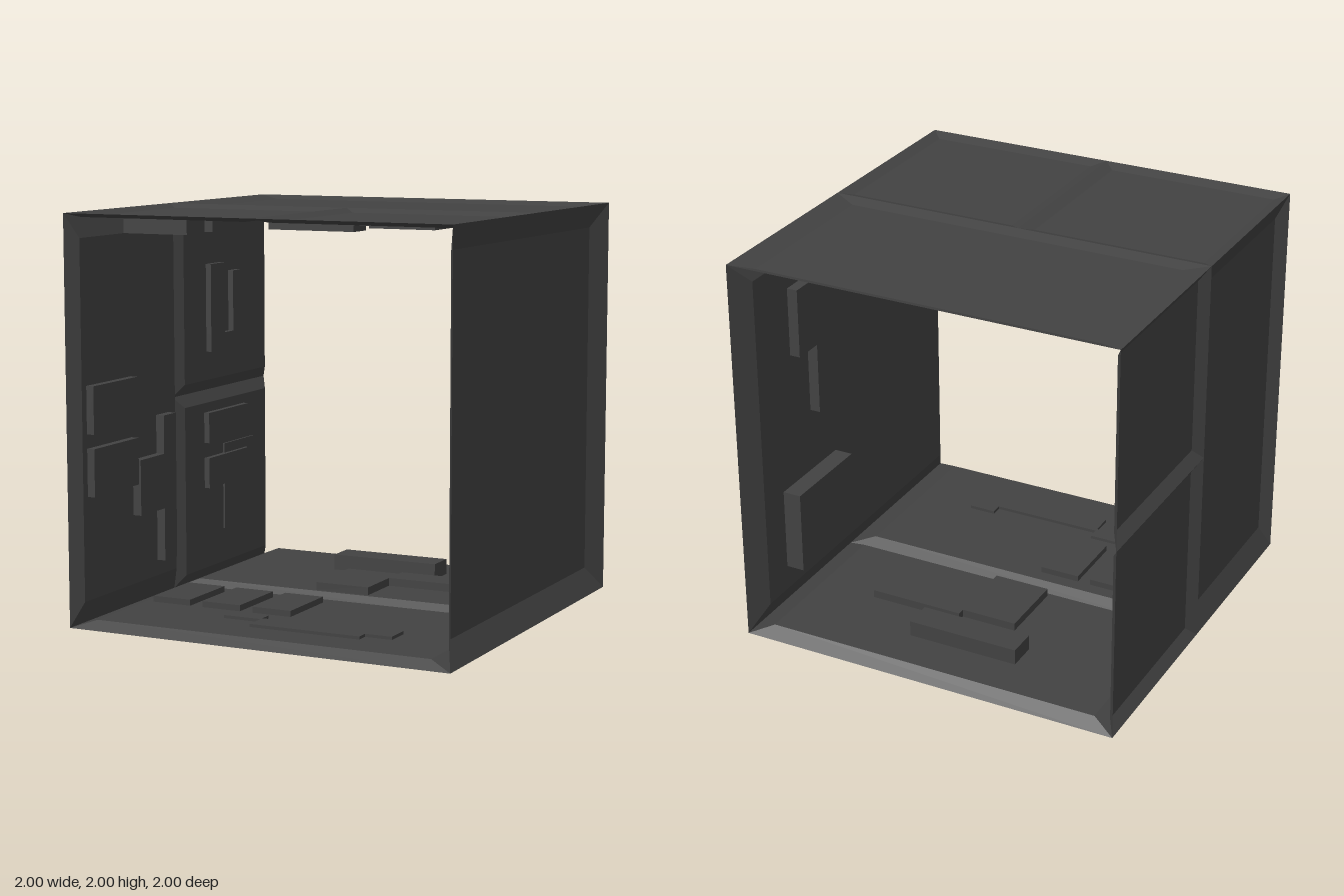
import * as THREE from 'three';

const metal = new THREE.MeshStandardMaterial({ color: 0x424242, side: THREE.DoubleSide });
metal.name = 'darkGrey';

// Each wall maps (u, v, h) to space; h is the height above the outer plane, inwards.
// u is x on floor and ceiling, y on the side walls; v is always z.
const floor = (u, v, h) => new THREE.Vector3(u, h, v);
const ceiling = (u, v, h) => new THREE.Vector3(u, 2 - h, v);
const leftWall = (u, v, h) => new THREE.Vector3(1 - h, u, v);
const rightWall = (u, v, h) => new THREE.Vector3(h - 1, u, v);

// Pressed sheet: rim on the outer plane, bevels rising to a raised centre plate.
function sheet(map, u0, u1, v0, v1, depth) {
  const ring = (inset, h) => {
    const du = (u1 - u0) * inset, dv = (v1 - v0) * inset;
    return [
      map(u0 + du, v0 + dv, h), map(u1 - du, v0 + dv, h),
      map(u1 - du, v1 - dv, h), map(u0 + du, v1 - dv, h),
    ];
  };
  const outer = ring(0, 0), inner = ring(0.06, depth);
  const points = [];
  const quad = (a, b, c, d) => points.push(a, b, c, a, c, d);
  quad(...inner);
  for (let i = 0; i < 4; i++) {
    const j = (i + 1) % 4;
    quad(outer[i], outer[j], inner[j], inner[i]);
  }
  const geometry = new THREE.BufferGeometry().setFromPoints(points);
  geometry.computeVertexNormals();
  return geometry;
}

// Panel group with helpers that fix raised plates to its inner face.
function makePanel(model, name, map, u0, u1, v0, v1, depth) {
  const group = new THREE.Group();
  group.name = name;
  model.add(group);
  const add = (geometry, part) => {
    const mesh = new THREE.Mesh(geometry, metal);
    mesh.name = part;
    group.add(mesh);
  };
  add(sheet(map, u0, u1, v0, v1, depth), 'bevelledSheet');

  // One rectangular block from corner (u, v), standing up to height top.
  const block = (u, v, du, dv, top, part = 'block') => {
    const box = new THREE.Box3().setFromPoints([map(u, v, depth), map(u + du, v + dv, top)]);
    const size = box.getSize(new THREE.Vector3());
    const { x, y, z } = box.getCenter(new THREE.Vector3());
    add(new THREE.BoxGeometry(size.x, size.y, size.z).translate(x, y, z), part);
  };
  // Equal blocks repeated along u.
  const row = (count, pitch, u, v, du, dv, top) => {
    for (let i = 0; i < count; i++) block(u + i * pitch, v, du, dv, top, 'rowBlock');
  };
  // Plate whose v range changes along u; each step is [end u, low v, high v].
  const stepped = (top, start, ...steps) => {
    let u = start;
    for (const [end, low, high] of steps) {
      block(u, low, end - u, high - low, top, 'steppedPlate');
      u = end;
    }
  };
  return { block, row, stepped };
}

export function createModel() {
  const model = new THREE.Group();
  model.name = 'corridorSection';
  const panel = (...args) => makePanel(model, ...args);

  // Floor
  const floorFront = panel('floorFront', floor, -1, 1, 0, 1, 0.04);
  floorFront.row(3, 0.28, -0.84, 0.13, 0.21, 0.35, 0.07);
  floorFront.stepped(0.055, -0.35, [-0.15, 0.56, 0.64], [0.43, 0.62, 0.75], [0.57, 0.56, 0.69]);
  const floorBack = panel('floorBack', floor, -1, 1, -1, 0, 0.05);
  floorBack.block(-0.35, -0.72, 0.58, 0.15, 0.13);
  floorBack.stepped(0.09, -0.21, [0.08, -0.45, -0.08], [0.57, -0.49, -0.33]);

  // Ceiling
  const ceilingBack = panel('ceilingBack', ceiling, -1, 1, -1, 0, 0.02);
  ceilingBack.block(-0.52, -0.3, 0.48, 0.14, 0.13);
  ceilingBack.stepped(0.08, -0.5, [-0.02, -0.7, -0.37], [0.23, -0.55, -0.42]);
  const ceilingRight = panel('ceilingFrontRight', ceiling, -1, 0, 0, 1, 0.02);
  for (const v of [0.25, 0.5]) ceilingRight.block(-0.87, v, 0.35, 0.17, 0.11);
  const ceilingLeft = panel('ceilingFrontLeft', ceiling, 0, 1, 0, 1, 0.02);
  ceilingLeft.stepped(0.052, 0.2, [0.43, 0.35, 0.5], [0.76, 0.3, 0.65]);

  // Right wall: a tall front panel and two square back panels
  const rightFront = panel('rightWallFront', rightWall, 0, 2, 0, 1, 0.05);
  rightFront.row(2, 0.305, 0.63, 0.49, 0.235, 0.41, 0.09);
  rightFront.stepped(0.095, 0.2, [0.47, 0.13, 0.25], [0.75, 0.13, 0.48], [0.945, 0.13, 0.25]);
  const rightLower = panel('rightWallBackLower', rightWall, 0, 1, -1, 0, 0.04);
  rightLower.row(2, 0.24, 0.49, -0.69, 0.16, 0.43, 0.07);
  rightLower.block(0.24, -0.79, 0.46, 0.33, 0.05);
  const rightUpper = panel('rightWallBackUpper', rightWall, 1, 2, -1, 0, 0.04);
  rightUpper.stepped(0.07, 1.21, [1.3, -0.61, -0.29], [1.67, -0.44, -0.29]);
  rightUpper.block(1.3, -0.61, 0.32, 0.08, 0.07);

  // Left wall: one large panel
  const left = panel('leftWallWhole', leftWall, 0, 2, -1, 1, 0.06);
  left.block(0.25, -0.71, 0.425, 0.5, 0.155);
  left.stepped(0.115, 1.005, [1.375, -0.43, -0.18], [1.73, -0.59, -0.02]);

  return model;
}
